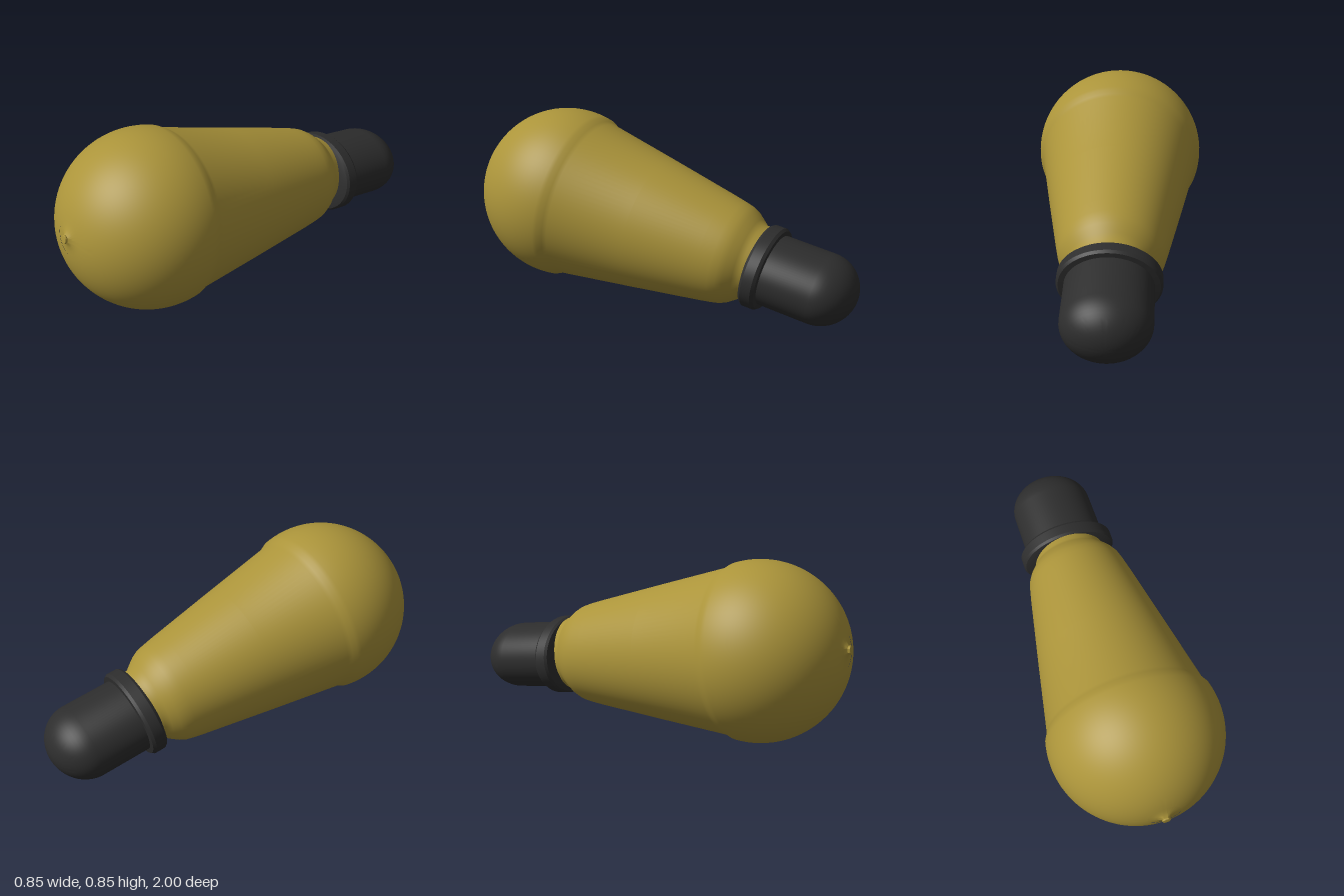
import * as THREE from 'three';
import { toCreasedNormals } from 'three/addons/utils/BufferGeometryUtils.js';

const TILT = 0.17; // the bulb lies on its tapered side

// Points are [radius, distance along the bulb's axis], back to front
function turned(name, points, material, crease) {
  const lathe = new THREE.LatheGeometry(points.map(([r, s]) => new THREE.Vector2(r, s)), 96);
  const mesh = new THREE.Mesh(toCreasedNormals(lathe, crease), material);
  mesh.name = name;
  return mesh;
}

// Quarter or partial arc in the profile plane
function arc(radius, length, centre, from, to, n) {
  return Array.from({ length: n + 1 }, (_, i) => {
    const a = from + (to - from) * i / n;
    return [Math.max(0, radius * Math.cos(a)), centre + length * Math.sin(a)];
  });
}

export function createModel() {
  const amber = new THREE.MeshStandardMaterial({ color: 0xab943a });
  amber.name = 'amber glass';
  const black = new THREE.MeshStandardMaterial({ color: 0x2d2d2d });
  black.name = 'black cap';

  const bulb = new THREE.Group();
  bulb.name = 'bulb';

  // Glass: neck, rounded shoulder, long cone and round end
  const R = 0.427;
  const glass = [
    [0.17, -1.1], [0.185, -1.075], [0.185, -1.05], [0.205, -1.025], [0.231, -0.99],
    [0.246, -0.96], [0.255, -0.925], [0.262, -0.89], [0.268, -0.86],
    [0.333, -0.5], [0.398, -0.129], [0.406, -0.108],
    ...arc(R, R, 0, -0.2, 1.38, 32),
  ];
  bulb.add(turned('glassBody', glass, amber, 0.7));

  // Small sealed tip at the front
  bulb.add(turned('glassTip', [
    [0.085, 0.416], [0.06, 0.421], [0.04, 0.426], [0.026, 0.432], [0.018, 0.438],
    [0.021, 0.444], [0.019, 0.45], [0, 0.452],
  ], amber, 0.7));

  // Slightly flattened cap with a domed end and a collar
  const cap = new THREE.Group();
  cap.name = 'cap';
  cap.scale.z = 0.81;
  cap.position.z = 0.005;
  cap.add(turned('capBody', [
    ...arc(0.206, 0.175, -1.4, -Math.PI / 2, 0, 14), [0.206, -1.12],
  ], black, 0.6));
  cap.add(turned('collar', [
    [0.2, -1.155], [0.232, -1.152], [0.243, -1.138], [0.243, -1.088],
    [0.234, -1.076], [0.19, -1.063], [0.15, -1.063],
  ], black, 0.5));
  bulb.add(cap);

  // Lay the bulb down, round end forward
  bulb.rotation.x = Math.PI / 2 - TILT;
  bulb.position.set(0, 0.428, 0.555);

  const model = new THREE.Group();
  model.name = 'lyingBulb';
  model.add(bulb);
  return model;
}
